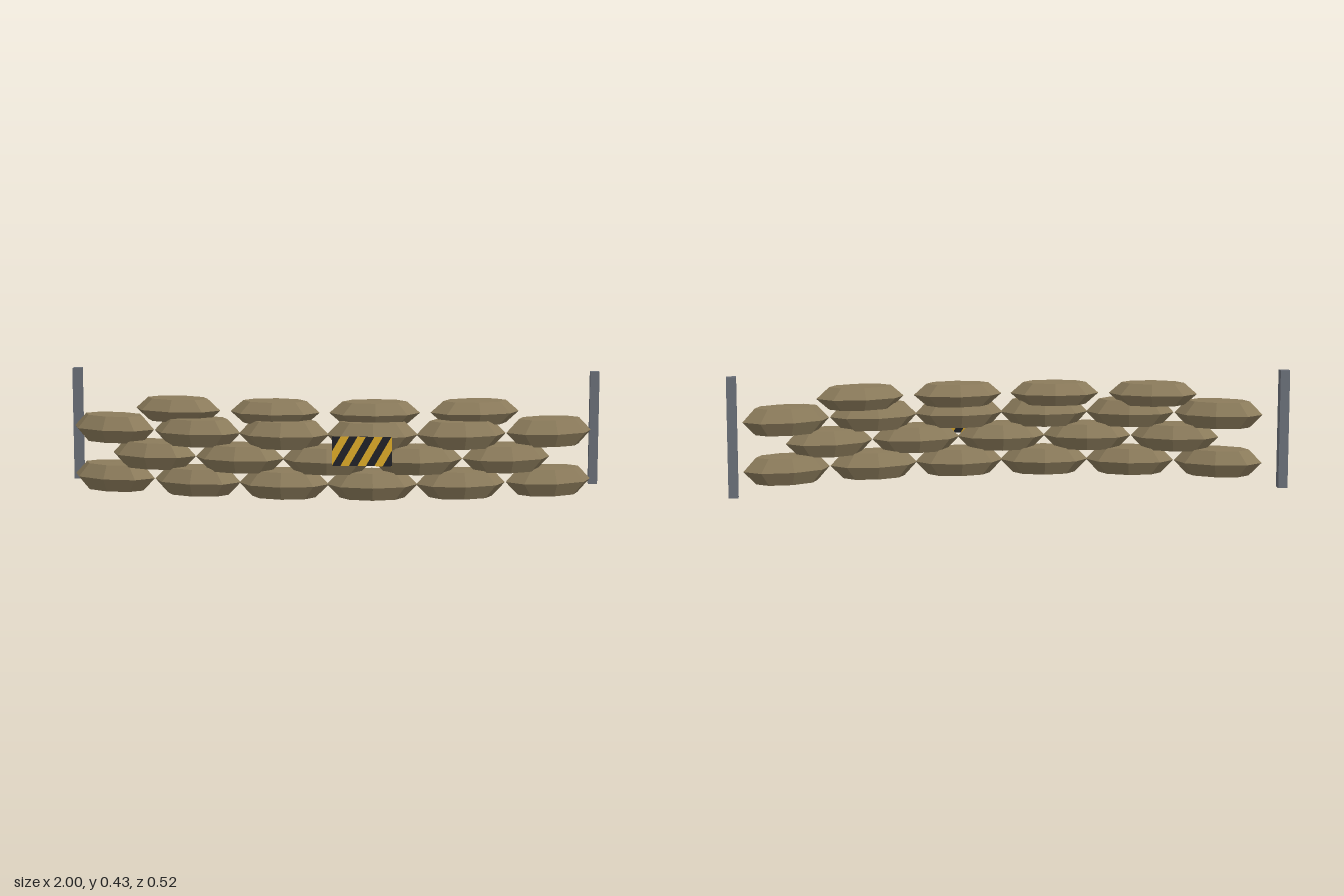
import * as THREE from 'three';

const mat = (name, color, flatShading = false) => {
  const m = new THREE.MeshStandardMaterial({ color, flatShading });
  m.name = name;
  return m;
};

// Keep the part of a polygon where side * x <= side * limit
function clipX(poly, limit, side) {
  const out = [];
  poly.forEach((p, i) => {
    const q = poly[(i + 1) % poly.length];
    const pIn = side * p.x <= side * limit, qIn = side * q.x <= side * limit;
    if (pIn) out.push(p);
    if (pIn !== qIn) out.push(p.clone().lerp(q, (limit - p.x) / (q.x - p.x)));
  });
  return out;
}

export function createModel() {
  const model = new THREE.Group();
  model.name = 'sandbagBarricade';
  const sack = mat('sackcloth', 0x8b7b5b, true);
  const steel = mat('steelGrey', 0x6b7079);
  const black = mat('signBlack', 0x1f2126);
  const yellow = mat('signYellow', 0xd6a526);

  const add = (parent, name, geometry, material, x, y, z) => {
    const mesh = new THREE.Mesh(geometry, material);
    mesh.name = name;
    mesh.position.set(x, y, z);
    parent.add(mesh);
    return mesh;
  };

  // Sandbag: eight-sided pillow with a nearly flat top and bottom
  const profile = [[0, -1], [0.71, -0.96], [1, 0], [0.71, 0.96], [0, 1]]
    .map(([r, y]) => new THREE.Vector2(r, y));
  const bagGeometry = new THREE.LatheGeometry(profile, 8);

  // Four courses of bags laid along a shallow forward-bowed arc
  const bend = 0.2;
  const courses = [
    { count: 6, step: 0.32, shift: 0, y: 0.055, half: 0.051, z: 0.135 },
    { count: 5, step: 0.322, shift: 0, y: 0.146, half: 0.05, z: 0.138 },
    { count: 6, step: 0.32, shift: 0, y: 0.236, half: 0.051, z: 0.135 },
    { count: 4, step: 0.362, shift: -0.014, y: 0.311, half: 0.043, z: 0.1 },
  ];
  courses.forEach((c, row) => {
    const course = new THREE.Group();
    course.name = `sandbagCourse${row + 1}`;
    for (let i = 0; i < c.count; i++) {
      const x = (i - (c.count - 1) / 2) * c.step + c.shift;
      const bag = add(course, 'sandbag', bagGeometry, sack, x, c.y, c.z - bend * x * x);
      bag.scale.set(0.164, c.half, 0.093);
      bag.rotation.y = Math.atan(2 * bend * x);
    }
    model.add(course);
  });

  // Posts behind both ends
  const postGeometry = new THREE.BoxGeometry(0.034, 0.428, 0.034);
  for (const s of [1, -1]) {
    add(model, s > 0 ? 'leftPost' : 'rightPost', postGeometry, steel, s * 0.983, 0.214, -0.243);
  }

  // Hazard sign, leaning back slightly
  const W = 0.106, H = 0.052;
  const sign = new THREE.Group();
  sign.name = 'hazardSign';
  sign.position.set(0.128, 0.194, 0.249);
  sign.rotation.x = -0.12;
  model.add(sign);
  add(sign, 'signPlate', new THREE.BoxGeometry(W * 2, H * 2, 0.008), black, 0, 0, 0);

  // Slanted stripes on both faces
  const period = 0.06, width = 0.03, lean = 0.03;
  for (let a = -W - period; a < W + period; a += period) {
    let poly = [[a - lean, -H], [a - lean + width, -H], [a + lean + width, H], [a + lean, H]]
      .map(([x, y]) => new THREE.Vector2(x, y));
    poly = clipX(clipX(poly, W, 1), -W, -1);
    if (poly.length < 3) continue;
    const stripe = new THREE.ShapeGeometry(new THREE.Shape(poly));
    add(sign, 'frontStripe', stripe, yellow, 0, 0, 0.0048);
    add(sign, 'backStripe', stripe, yellow, 0, 0, -0.0048).rotation.y = Math.PI;
  }
  return model;
}
